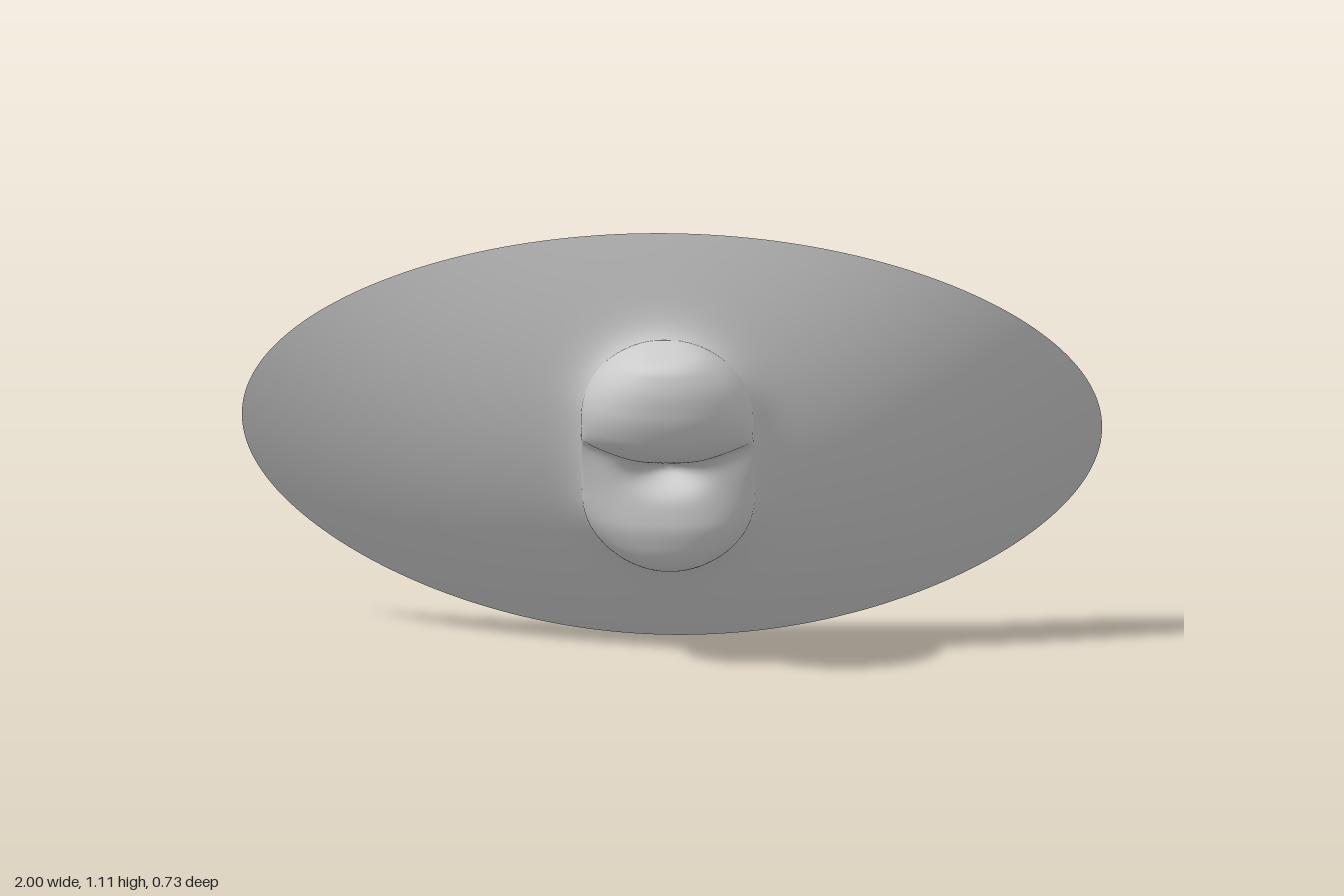
import * as THREE from 'three';

// Smooth monotone curve through [y, z] pairs
function curve(pts) {
  const n = pts.length;
  const d = [];
  for (let i = 0; i < n - 1; i++) d.push((pts[i + 1][1] - pts[i][1]) / (pts[i + 1][0] - pts[i][0]));
  const m = pts.map((_, i) => {
    if (i === 0) return d[0];
    if (i === n - 1) return d[n - 2];
    return d[i - 1] * d[i] <= 0 ? 0 : (2 * d[i - 1] * d[i]) / (d[i - 1] + d[i]);
  });
  return (y) => {
    y = THREE.MathUtils.clamp(y, pts[0][0], pts[n - 1][0]);
    let i = 0;
    while (i < n - 2 && y > pts[i + 1][0]) i++;
    const h = pts[i + 1][0] - pts[i][0], t = (y - pts[i][0]) / h;
    const t2 = t * t, t3 = t2 * t;
    return pts[i][1] * (2 * t3 - 3 * t2 + 1) + pts[i + 1][1] * (3 * t2 - 2 * t3)
      + h * (m[i] * (t3 - 2 * t2 + t) + m[i + 1] * (t3 - t2));
  };
}

const A = 1, B = 0.553, CY = 0.553;         // rim ellipse
const NY = 0.541, NR = 0.2, NH = 0.109;     // stadium outline of the bulges
const FILLET = 0.028;

// Sheet: a cubic along the middle, swept back to both sides, less so near the top
const middle = (y) => -0.32 + y - 0.723 * y * (y - 0.22) + 0.248 * y * (y - 0.22) * (y - 0.6);
const sheetDepth = (x, y) => middle(y) - (0.51 - 0.46 * y + 0.08 * y * y) * x * x;

// Depth of the two bulges along their middle
const bulge = curve([[0.232, -0.09], [0.236, -0.02], [0.245, 0.025], [0.27, 0.068], [0.32, 0.102], [0.38, 0.12], [0.45, 0.122], [0.5, 0.128], [0.53, 0.143], [0.545, 0.18], [0.555, 0.225], [0.58, 0.272], [0.63, 0.32], [0.7, 0.353], [0.76, 0.362], [0.8, 0.356], [0.82, 0.34], [0.835, 0.28], [0.845, 0.225], [0.85, 0.195]]);

function bulgeDepth(x, y) {
  const over = Math.max(0, Math.abs(y - NY) - NH);
  const w = Math.sqrt(Math.max(1e-9, NR * NR - over * over));
  const f = Math.sqrt(Math.max(0, 1 - Math.abs(x / w) ** 2.3));
  // the lip between the bulges curves upward to the sides, with a hollow below it
  const lip = y - 1.2 * x * x * Math.exp(-(((y - 0.56) / 0.06) ** 2));
  const hollow = 0.065 * Math.exp(-((x / 0.07) ** 2) - ((y - 0.505) / 0.04) ** 2);
  const rise = Math.max(0, bulge(lip) - middle(y) - FILLET);
  return sheetDepth(x, y) + FILLET + rise * f - hollow;
}

export function createModel() {
  const SEG = 192, INNER = 52, OUTER = 44;
  const stadium = new THREE.Path();
  stadium.moveTo(NR, NY);
  stadium.lineTo(NR, NY + NH);
  stadium.absarc(0, NY + NH, NR, 0, Math.PI, false);
  stadium.lineTo(-NR, NY - NH);
  stadium.absarc(0, NY - NH, NR, Math.PI, Math.PI * 2, false);
  stadium.lineTo(NR, NY);
  const wall = stadium.getSpacedPoints(SEG);

  const pos = [], idx = [];
  for (let i = 0; i <= INNER + OUTER; i++) {
    for (let j = 0; j < SEG; j++) {
      const a = (j / SEG) * Math.PI * 2;
      const { x: ox, y: oy } = wall[j];
      if (i < INNER) {
        // rings inside the bulges, closer together near their wall
        const r = Math.sin((i / INNER) * Math.PI / 2);
        const x = ox * r, y = NY + (oy - NY) * r;
        pos.push(x, y, bulgeDepth(x, y));
      } else {
        // rings from the wall out to the rim, with a soft fillet
        const t = ((i - INNER) / OUTER) ** 1.6;
        const x = THREE.MathUtils.lerp(ox, A * Math.cos(a), t);
        const y = THREE.MathUtils.lerp(oy, CY + B * Math.sin(a), t);
        const gap = Math.hypot(x - ox, y - oy);
        pos.push(x, y, sheetDepth(x, y) + FILLET * Math.exp(-gap / 0.035));
      }
    }
  }
  for (let i = 0; i < INNER + OUTER; i++) {
    for (let j = 0; j < SEG; j++) {
      const k = (j + 1) % SEG;
      const a = i * SEG + j, b = a + SEG, c = (i + 1) * SEG + k, d = i * SEG + k;
      idx.push(a, b, c);
      if (i > 0) idx.push(a, c, d);
    }
  }
  const geo = new THREE.BufferGeometry();
  geo.setAttribute('position', new THREE.Float32BufferAttribute(pos, 3));
  geo.setIndex(idx);
  geo.computeVertexNormals();
  // the innermost ring is a single point, so it shares one normal
  const n = geo.attributes.normal;
  const sum = new THREE.Vector3();
  for (let j = 0; j < SEG; j++) sum.add(new THREE.Vector3().fromBufferAttribute(n, j));
  sum.normalize();
  for (let j = 0; j < SEG; j++) n.setXYZ(j, sum.x, sum.y, sum.z);

  const mesh = new THREE.Mesh(geo, new THREE.MeshStandardMaterial({ color: 0xcccccc, side: THREE.DoubleSide }));
  mesh.name = 'curvedSheetWithBulges';
  const group = new THREE.Group();
  group.name = 'embossedShell';
  group.add(mesh);
  return group;
}
